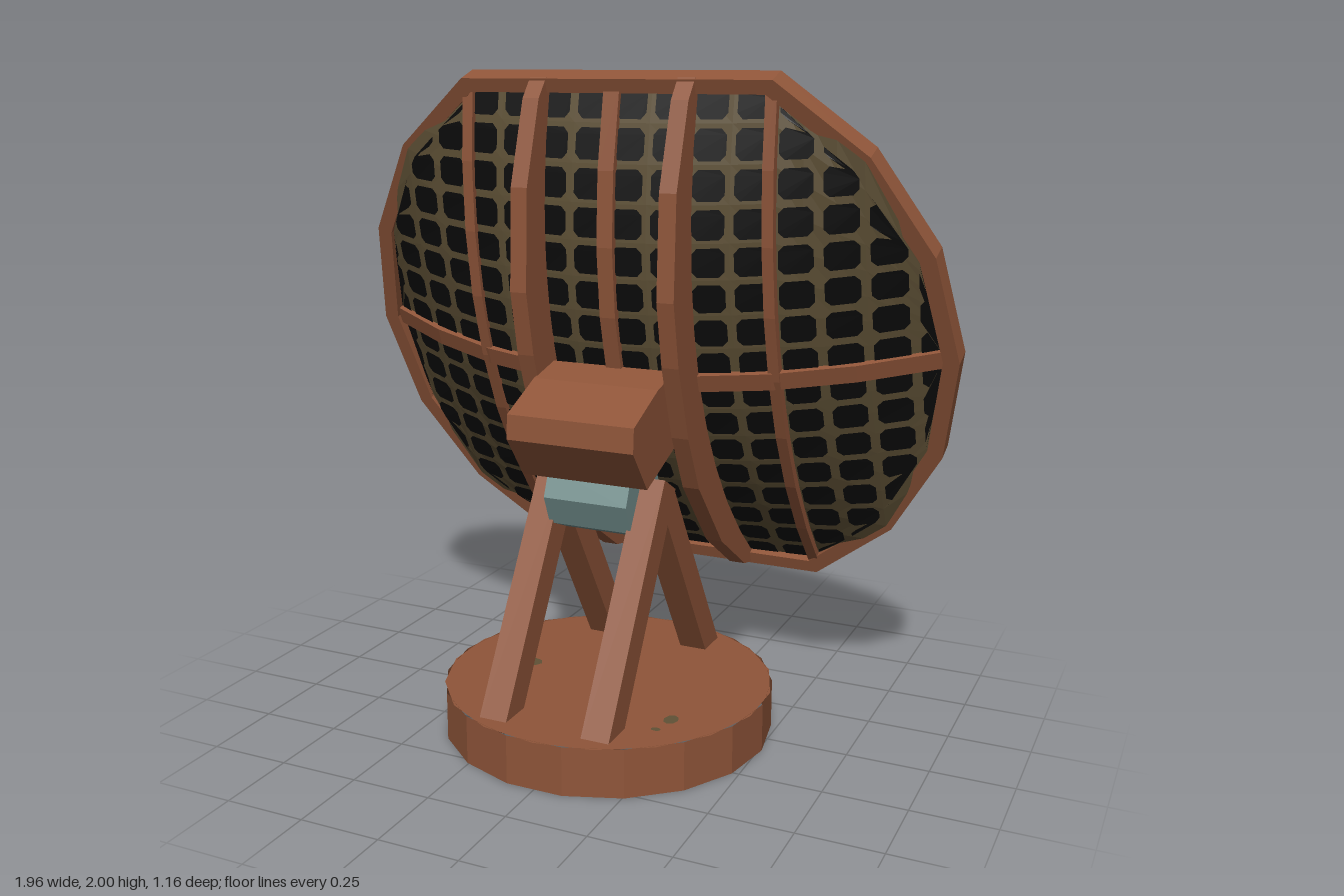
import * as THREE from 'three';

const mat = (name, color, side = THREE.FrontSide) => {
  const m = new THREE.MeshStandardMaterial({ color, side, flatShading: true });
  m.name = name;
  return m;
};

// Dish outline (quarter), as [x, v] points of an 18-gon cut flat at 60 degrees
const R = 0.98;
const QUARTER = [0, 20, 40, 60].map(a => {
  const t = THREE.MathUtils.degToRad(a);
  return [R * Math.cos(t), R * Math.sin(t)];
});
const outline = s => {
  const q = QUARTER.map(([x, y]) => [x * s, y * s]);
  const top = [...q, ...q.slice().reverse().map(([x, y]) => [-x, y])];
  const low = top.slice(1, -1).reverse().map(([x, y]) => [x, -y]);
  return [...top, ...low].map(([x, y]) => new THREE.Vector2(x, y));
};

// Half height of the outline at a given x
function halfHeight(x, s) {
  x = Math.abs(x) / s;
  if (x >= QUARTER[0][0]) return 0;
  for (let i = 0; i < 3; i++) {
    const [x0, y0] = QUARTER[i], [x1, y1] = QUARTER[i + 1];
    if (x >= x1) return s * (y0 + (y1 - y0) * (x0 - x) / (x0 - x1));
  }
  return s * QUARTER[3][1];
}

// Bowl depth behind the rim plane
const depth = (x, v) => 0.3 * Math.max(0, 1 - (x / 0.97) ** 2) * Math.max(0, 1 - (v / 0.87) ** 2) + 0.012;

// Extrude a closed profile, centred on its thickness
function slab(points, thickness) {
  const g = new THREE.ExtrudeGeometry(new THREE.Shape(points.map(p => new THREE.Vector2(...p))),
    { depth: thickness, bevelEnabled: false });
  return g.translate(0, 0, -thickness / 2);
}
// Turn a slab so that its profile lies in the (y, z) plane
const V3 = (x, y, z) => new THREE.Vector3(x, y, z);
const sideways = g => g.applyMatrix4(new THREE.Matrix4().makeBasis(V3(0, 1, 0), V3(0, 0, 1), V3(1, 0, 0)));

const range = (a, b, n) => Array.from({ length: n + 1 }, (_, i) => a + (b - a) * i / n);

function bufferMesh(pos, idx) {
  const g = new THREE.BufferGeometry();
  g.setAttribute('position', new THREE.Float32BufferAttribute(pos, 3));
  g.setIndex(idx);
  g.computeVertexNormals();
  return g;
}

// Curved mesh skin of the bowl
function bowlSkin() {
  const half = [0.12, 0.245, 0.367, 0.48, 0.57, 0.66, 0.735, 0.82, 0.9, 0.955];
  const xs = [...half.map(x => -x).reverse(), 0, ...half], rows = 16;
  const pos = [], idx = [];
  xs.forEach((x, i) => {
    for (let j = 0; j <= rows; j++) {
      const v = (j / rows * 2 - 1) * halfHeight(x, 0.98);
      pos.push(x, v, depth(x, v));
      if (i && j) {
        const d = i * (rows + 1) + j, c = d - 1, b = d - rows - 1, a = b - 1;
        idx.push(a, b, c, b, d, c);
      }
    }
  });
  return bufferMesh(pos, idx);
}

// Dark cells on one side of the skin, as clipped octagonal plates
function cells(offset) {
  const px = 0.1225, pv = 0.104, hx = 0.048, hv = 0.041, k = 0.016;
  const corners = [[hx, hv - k], [hx - k, hv], [k - hx, hv], [-hx, hv - k],
    [-hx, k - hv], [k - hx, -hv], [hx - k, -hv], [hx, k - hv]];
  const pos = [], idx = [];
  for (let i = -8; i < 8; i++) for (let j = -8; j < 8; j++) {
    const cx = (i + 0.5) * px, cv = (j + 0.5) * pv;
    const pts = corners.map(([dx, dv]) => {
      const x = THREE.MathUtils.clamp(cx + dx, -0.93, 0.93), lim = halfHeight(x, 0.945);
      return [x, THREE.MathUtils.clamp(cv + dv, -lim, lim)];
    });
    const vs = pts.map(p => p[1]);
    if (Math.max(...vs) - Math.min(...vs) < 0.015) continue;
    const base = pos.length / 3;
    pts.forEach(([x, v]) => pos.push(x, v, depth(x, v) + offset));
    for (let n = 1; n < 7; n++) idx.push(base, base + n, base + n + 1);
  }
  return bufferMesh(pos, idx);
}

export function createModel() {
  const rust = mat('rust', 0x8f5539);
  const rustOpen = mat('rust sheet', 0x8f5539, THREE.DoubleSide);
  const olive = mat('olive mesh', 0x5f5136, THREE.DoubleSide);
  const black = mat('black cells', 0x0b0b0b, THREE.DoubleSide);
  const steel = mat('grey steel', 0x74908e);

  const model = new THREE.Group();
  const add = (parent, name, geo, material) => {
    const m = new THREE.Mesh(geo, material);
    m.name = name;
    parent.add(m);
    return m;
  };

  // Dish: local y runs up the rim plane, local z is depth behind it
  const dish = new THREE.Group();
  dish.name = 'dish';
  dish.position.set(0, 1.2, -0.285);
  dish.rotation.x = 0.342;
  model.add(dish);

  const ring = new THREE.Shape(outline(1));
  ring.holes.push(new THREE.Path(outline(0.95).reverse()));
  add(dish, 'rim', new THREE.ExtrudeGeometry(ring, { depth: 0.075, bevelEnabled: false }), rust);
  add(dish, 'bowlSkin', bowlSkin(), olive);
  add(dish, 'innerCells', cells(-0.005), black);
  add(dish, 'outerCells', cells(0.005), black);

  // Thin ribs straddling the skin
  const strip = (ts, f, t = 0.025) =>
    [...ts.map(s => [s, f(s) - t]), ...ts.slice().reverse().map(s => [s, f(s) + t])];
  for (const x of [-0.48, 0, 0.48]) {
    const rib = sideways(slab(strip(range(-0.82, 0.82, 8), v => depth(x, v)), x ? 0.034 : 0.05));
    add(dish, 'verticalRib', rib.translate(x, 0, 0), rust);
  }
  const cross = slab(strip(range(-0.94, 0.94, 8), x => depth(x, 0)), 0.055);
  add(dish, 'crossRib', cross.rotateX(Math.PI / 2), rust);

  // Deep backing beams
  const back = [[0.85, 0.064], [0.81, 0.13], [0.6, 0.29], [0.317, 0.405], [0.12, 0.432]];
  const beamProfile = [
    ...range(-0.84, 0.84, 10).map(v => [v, depth(0.235, v) + 0.008]),
    ...back, ...back.slice().reverse().map(([v, d]) => [-v, d]),
  ];
  for (const s of [-1, 1])
    add(dish, 'backBeam', sideways(slab(beamProfile, 0.053)).translate(s * 0.234, 0, 0), rust);

  // Mount: housing, pivot drum and legs
  const mount = new THREE.Group();
  mount.name = 'mount';
  mount.position.x = -0.008;
  model.add(mount);

  const housing = [[1.13, 0.03], [1.1, 0.155], [1.025, 0.325], [0.95, 0.33], [0.82, 0.23], [0.885, 0.06], [0.93, -0.06]];
  add(mount, 'housing', sideways(slab(housing, 0.405)), rust);

  const drum = new THREE.CylinderGeometry(0.125, 0.125, 0.27, 8).rotateZ(Math.PI / 2);
  add(mount, 'pivotDrum', drum.translate(0, 0.755, 0.105), steel);

  const leg = (name, x, [y0, z0], [y1, z1]) => {
    const len = Math.hypot(y1 - y0, z1 - z0);
    const m = add(mount, name, new THREE.BoxGeometry(0.088, len, 0.095), rust);
    m.position.set(x, (y0 + y1) / 2, (z0 + z1) / 2);
    m.rotation.x = Math.atan2(z1 - z0, y1 - y0);
  };
  for (const s of [-1, 1]) {
    leg('frontLeg', s * 0.165, [0.1, 0.483], [0.795, 0.073]);
    leg('rearLeg', s * 0.164, [0.1, -0.325], [0.74, 0.075]);
  }

  // Base: open-bottomed drum with a lid
  const turn = Math.PI / 18;
  const wall = new THREE.CylinderGeometry(0.51, 0.51, 0.15, 18, 1, true, turn);
  add(model, 'baseWall', wall.translate(0, 0.075, 0.08), rustOpen);
  const lid = new THREE.CircleGeometry(0.51, 18, turn).rotateX(-Math.PI / 2);
  add(model, 'baseLid', lid.translate(0, 0.149, 0.08), rustOpen);

  // Worn patches on the lid
  for (const [x, z, rx, rz] of [[0.302, 0.294, 0.022, 0.03], [0.286, 0.37, 0.015, 0.011], [-0.27, 0.09, 0.04, 0.03]])
    for (const y of [0.152, 0.146]) {
      const spot = new THREE.CircleGeometry(1, 8).rotateX(-Math.PI / 2).scale(rx, 1, rz);
      add(model, 'wornPatch', spot.translate(x, y, z), olive);
    }

  return model;
}
